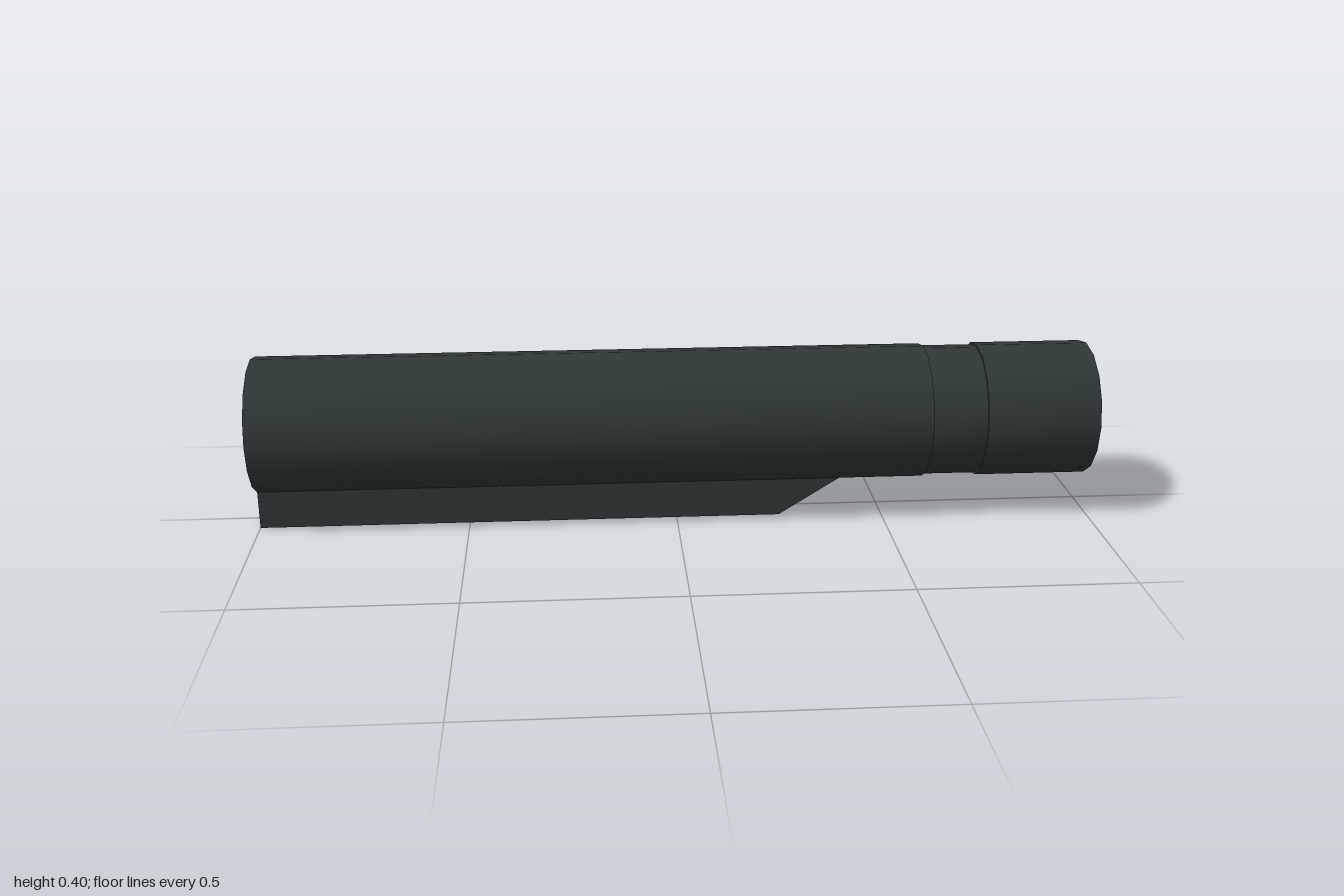
import * as THREE from 'three';
import { toCreasedNormals } from 'three/addons/utils/BufferGeometryUtils.js';

const AXIS_Y = 0.242, R = 0.162, GROOVE_R = 0.157, BORE_R = 0.141;

export function createModel() {
  const group = new THREE.Group();
  group.name = 'tubeWithRail';
  const metal = new THREE.MeshStandardMaterial({ color: 0x2f3837 });
  metal.name = 'dark gunmetal';

  // Hollow tube: closed at -x, shallow groove near the open +x end
  const profile = [
    [0, -1], [R, -1], [R, 0.6], [GROOVE_R, 0.6], [GROOVE_R, 0.73],
    [R, 0.73], [R, 1], [BORE_R, 1], [BORE_R, -0.96], [0, -0.96],
  ].map(([r, x]) => new THREE.Vector2(r, x));
  const lathe = new THREE.LatheGeometry(profile, 16).rotateZ(-Math.PI / 2);
  const tube = new THREE.Mesh(toCreasedNormals(lathe, 0.6), metal);
  tube.name = 'tube';
  tube.position.y = AXIS_Y;
  group.add(tube);

  // Rail under the tube with a sloped front end
  const side = new THREE.Shape([
    [-1, 0], [0.25, 0], [0.402, 0.096], [-1, 0.096],
  ].map(([x, y]) => new THREE.Vector2(x, y)));
  const width = 0.124;
  const rail = new THREE.Mesh(
    new THREE.ExtrudeGeometry(side, { depth: width, bevelEnabled: false }).translate(0, 0, -width / 2),
    metal,
  );
  rail.name = 'bottomRail';
  group.add(rail);

  return group;
}
